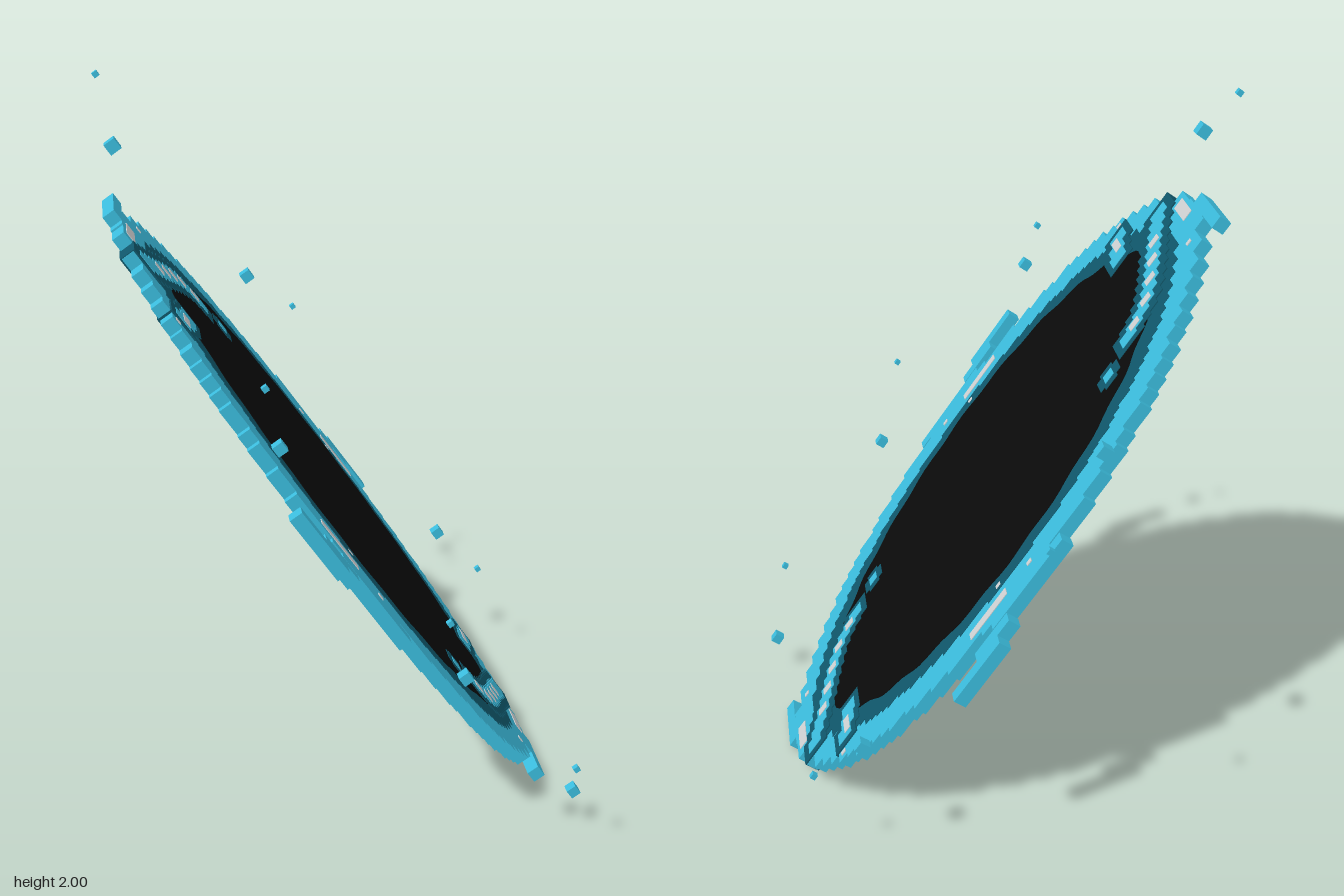
import * as THREE from 'three';

const flat = (name, color) => {
  const m = new THREE.MeshStandardMaterial({ color });
  m.name = name;
  return m;
};

export function createModel() {
  const cyan = flat('bright cyan', 0x3cbfe0);
  const teal = flat('deep teal', 0x10586c);
  const black = flat('black', 0x0a0a0a);
  const pale = flat('pale grey', 0xd2d4d5);

  const model = new THREE.Group();
  model.name = 'portal';

  // Tilted plane: local x is the short axis, local y the long axis
  const yaw = THREE.MathUtils.degToRad(6), tilt = THREE.MathUtils.degToRad(55);
  const shortAxis = new THREE.Vector3(-Math.sin(yaw), 0, Math.cos(yaw));
  const longAxis = new THREE.Vector3(-Math.cos(tilt) * Math.cos(yaw), Math.sin(tilt), -Math.cos(tilt) * Math.sin(yaw));
  const normal = shortAxis.clone().cross(longAxis);
  const disc = new THREE.Group();
  disc.name = 'disc';
  disc.quaternion.setFromRotationMatrix(new THREE.Matrix4().makeBasis(shortAxis, longAxis, normal));
  disc.position.set(-0.013, 0.838, 0.01);
  model.add(disc);

  const add = (name, geometry, material, x = 0, y = 0) => {
    const mesh = new THREE.Mesh(geometry, material);
    mesh.name = name;
    mesh.position.set(x, y, 0);
    disc.add(mesh);
    return mesh;
  };

  // Plates run right through the disc, so they show on both faces
  const plate = (name, points, depth, material) => {
    const geometry = new THREE.ExtrudeGeometry(new THREE.Shape(points), { depth, bevelEnabled: false });
    add(name, geometry.translate(0, 0, -depth / 2), material);
  };

  // A box and its half-turn twin
  const pair = (name, x, y, w, h, depth, material) => {
    for (const s of [1, -1]) add(name, new THREE.BoxGeometry(w, h, depth), material, s * x, s * y);
  };

  // Ellipse outline made of square steps
  const stepped = (a, b, cell) => {
    const rows = Math.round((2 * b) / cell), h = (2 * b) / rows;
    const right = [], left = [];
    for (let i = 0; i < rows; i++) {
      const y0 = -b + i * h, ym = y0 + h / 2;
      const w = Math.max(cell, Math.round((a * Math.sqrt(1 - (ym / b) ** 2)) / cell * 2) * cell / 2);
      right.push(new THREE.Vector2(w, y0), new THREE.Vector2(w, y0 + h));
      left.push(new THREE.Vector2(-w, y0), new THREE.Vector2(-w, y0 + h));
    }
    return [...right, ...left.reverse()];
  };

  // Ellipse outline with a gentle scallop
  const scalloped = (a, b, waves, depth) => {
    const points = [];
    for (let i = 0; i < 144; i++) {
      const t = (i / 144) * Math.PI * 2;
      const k = 1 + depth * Math.cos(waves * t);
      points.push(new THREE.Vector2(a * k * Math.cos(t), b * k * Math.sin(t)));
    }
    return points;
  };

  // Rim, inner band and dark centre
  plate('rim', stepped(0.57, 0.97, 0.037), 0.036, cyan);
  plate('innerBand', stepped(0.485, 0.875, 0.025), 0.039, teal);
  plate('darkCentre', scalloped(0.44, 0.785, 24, 0.01), 0.042, black);

  // Stepped hooks on the four sides of the rim
  pair('sideHook', 0.655, 0.2, 0.036, 0.2, 0.036, cyan);
  pair('sideHookStep', 0.62, 0.12, 0.036, 0.14, 0.036, cyan);
  pair('sideHookBase', 0.58, -0.04, 0.036, 0.3, 0.036, cyan);
  pair('endHook', -0.095, 0.99, 0.19, 0.036, 0.036, cyan);
  pair('endHookStep', -0.03, 0.957, 0.13, 0.036, 0.036, cyan);

  // Swirl arms: teal surround, cyan stroke and pale dashes
  const arm = new THREE.CatmullRomCurve3(
    [[0.14, 0.88], [0.04, 0.82], [-0.06, 0.77], [-0.145, 0.71], [-0.19, 0.62]]
      .map(([x, y]) => new THREE.Vector3(x, y, 0)));
  arm.getSpacedPoints(12).forEach((p, i) => {
    pair('armSurround', p.x, p.y, 0.085, 0.11, 0.045, teal);
    pair('armStroke', p.x, p.y, 0.045, 0.06, 0.048, cyan);
    if (i > 2 && i % 2) pair('armDash', p.x, p.y, 0.028, 0.038, 0.051, pale);
  });

  // Short counter strokes beside the arms
  for (const [x, y] of [[0.19, 0.71], [0.23, 0.72], [0.27, 0.74]]) {
    pair('strokeSurround', x, y, 0.09, 0.1, 0.045, teal);
    pair('counterStroke', x, y, 0.05, 0.06, 0.048, cyan);
  }
  pair('counterDash', 0.245, 0.725, 0.06, 0.025, 0.051, pale);

  // Stray sparks off the arm tips
  pair('sparkSurround', -0.24, 0.515, 0.08, 0.05, 0.045, teal);
  pair('sparkSurround', -0.24, 0.515, 0.05, 0.085, 0.045, teal);
  pair('spark', -0.24, 0.515, 0.035, 0.035, 0.048, cyan);

  // Pale glints on the rim
  pair('endGlint', 0.03, 0.94, 0.1, 0.035, 0.04, pale);
  pair('sideGlint', 0.525, 0.11, 0.028, 0.16, 0.04, pale);
  for (const [x, y] of [[0.33, 0.76], [0.15, 0.9], [0.53, -0.07], [0.47, 0.05], [-0.13, 0.9]]) {
    pair('glintDot', x, y, 0.014, 0.018, 0.041, pale);
  }

  // Floating cubes: x, y, z, size
  const cubes = [
    [-0.585, 1.99, -0.235, 0.015], [-0.57, 1.84, -0.045, 0.032],
    [-0.11, 1.29, -0.7, 0.032], [0.065, 1.135, -0.86, 0.015],
    [-0.285, 1.25, 0.63, 0.028], [-0.31, 1.385, 0.59, 0.015],
    [0.15, 0.65, 0.745, 0.028], [0.07, 0.865, 0.862, 0.014],
    [0.465, 0.445, -0.552, 0.03], [0.585, 0.33, -0.492, 0.015],
    [0.545, 0.125, 0.505, 0.028], [0.49, 0.29, 0.657, 0.015],
  ];
  for (const [x, y, z, size] of cubes) {
    const cube = new THREE.Mesh(new THREE.BoxGeometry(size, size, size), cyan);
    cube.name = 'floatingCube';
    cube.position.set(x, y, z);
    cube.quaternion.copy(disc.quaternion);
    model.add(cube);
  }

  return model;
}
